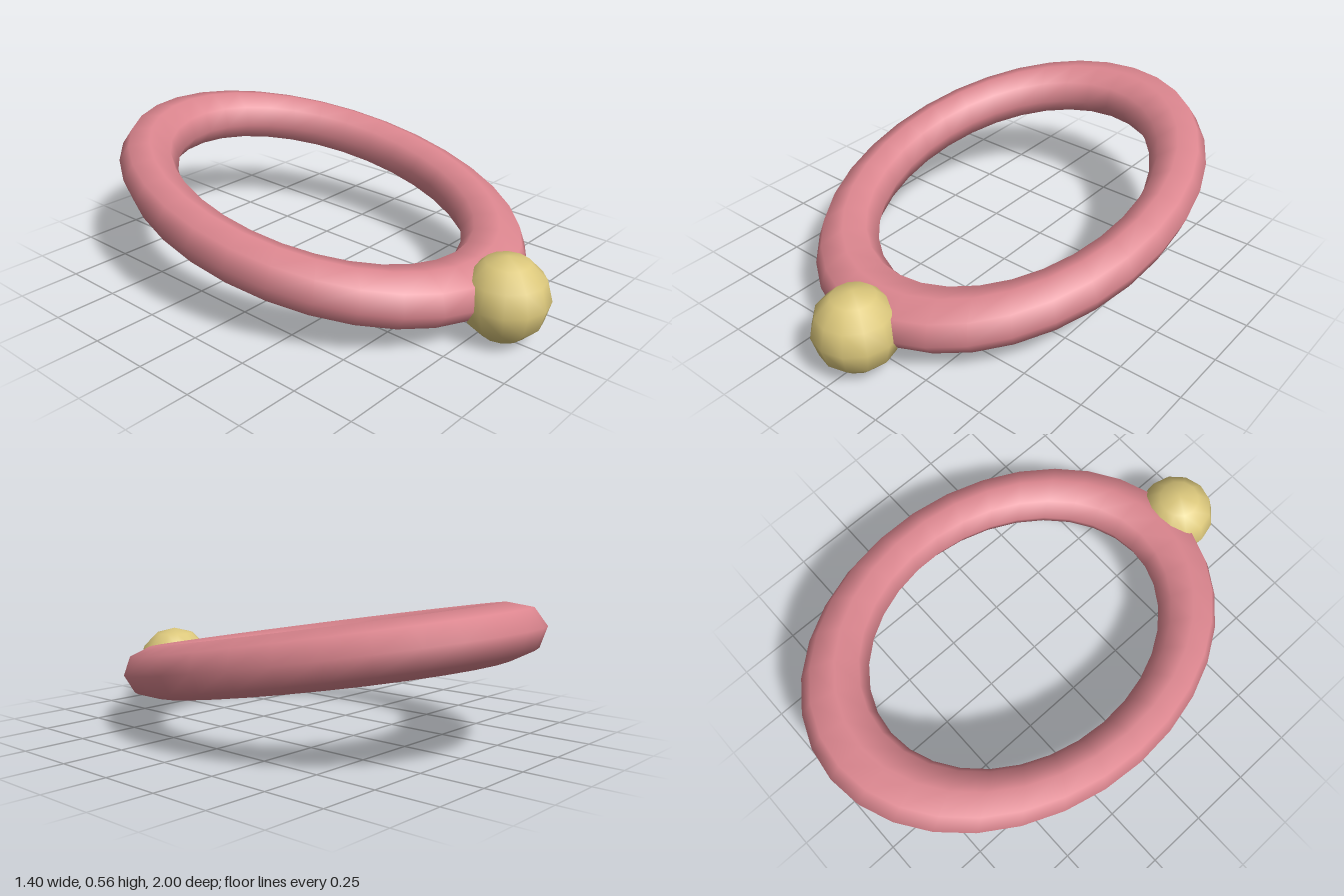
import * as THREE from 'three';

export function createModel() {
  const model = new THREE.Group();
  const pink = new THREE.MeshStandardMaterial({ color: 0xdc868f });
  pink.name = 'rosePink';
  const gold = new THREE.MeshStandardMaterial({ color: 0xdcc87c });
  gold.name = 'paleGold';

  // Oval ring: a torus laid flat, stretched front to back
  const ringGeometry = new THREE.TorusGeometry(0.595, 0.105, 8, 32);
  ringGeometry.rotateX(-Math.PI / 2);
  ringGeometry.scale(1, 1, 1.33);
  const ring = new THREE.Mesh(ringGeometry, pink);
  ring.name = 'ring';
  // Tilted so that its back end is raised
  ring.rotation.x = THREE.MathUtils.degToRad(10);
  ring.position.set(0, 0.323, -0.083);
  model.add(ring);

  // Round bead on the low front end
  const bead = new THREE.Mesh(new THREE.SphereGeometry(0.166, 12, 6), gold);
  bead.name = 'bead';
  bead.position.set(0, 0.168, 0.834);
  model.add(bead);

  return model;
}
